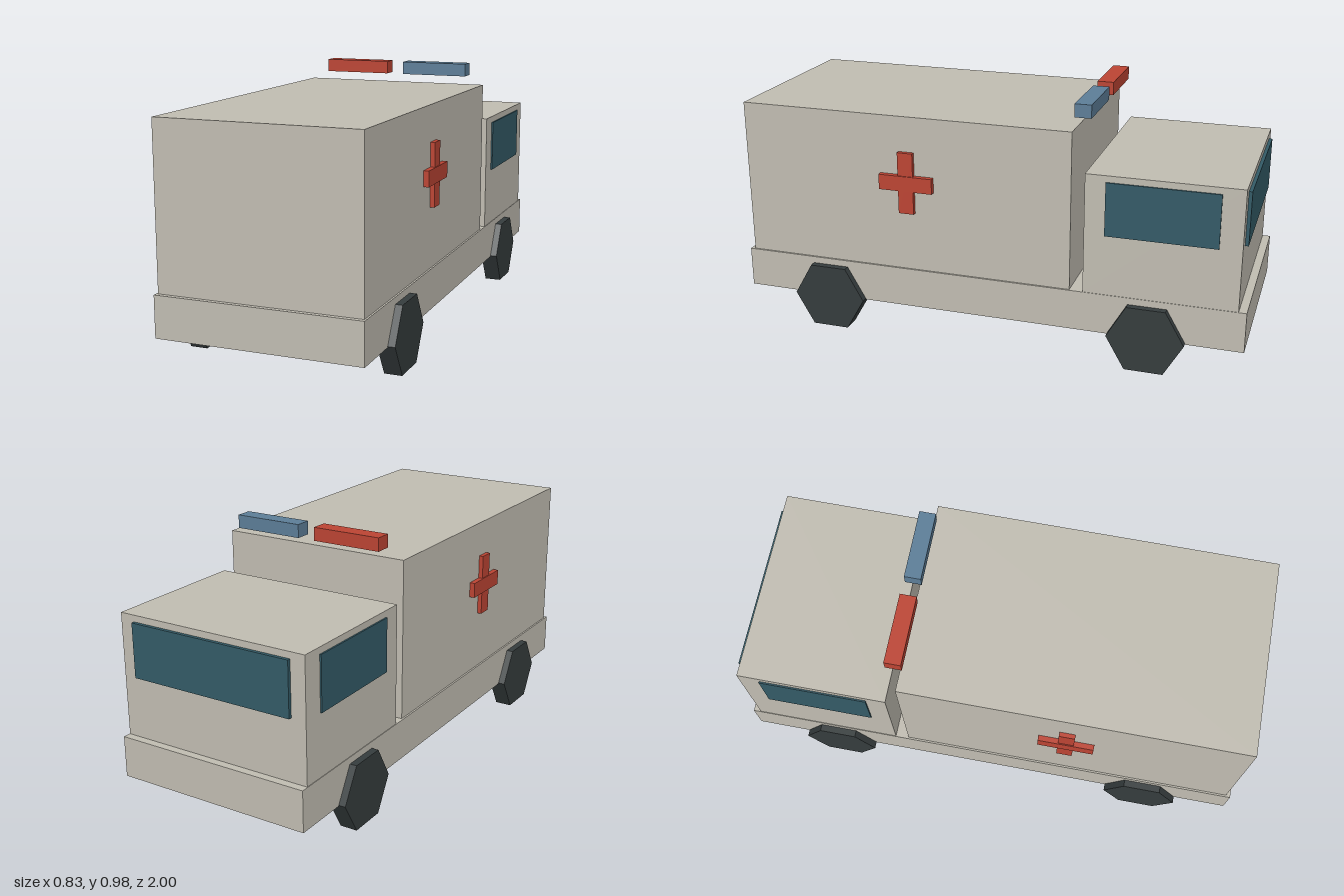
import * as THREE from 'three';

const mat = (name, color) => {
  const m = new THREE.MeshStandardMaterial({ color });
  m.name = name;
  return m;
};

export function createModel() {
  const paint = mat('body grey', 0xc0bcb1);
  const glass = mat('window teal', 0x335a66);
  const red = mat('signal red', 0xbb4433);
  const blue = mat('signal blue', 0x5c7d97);
  const rubber = mat('tyre black', 0x353c3d);

  const group = new THREE.Group();
  group.name = 'ambulance';

  // Box given by its extents on each axis
  const box = (name, material, [x0, x1], [y0, y1], [z0, z1]) => {
    const mesh = new THREE.Mesh(new THREE.BoxGeometry(x1 - x0, y1 - y0, z1 - z0), material);
    mesh.position.set((x0 + x1) / 2, (y0 + y1) / 2, (z0 + z1) / 2);
    mesh.name = name;
    group.add(mesh);
  };

  // Body
  box('chassis', paint, [-0.39, 0.39], [0.124, 0.281], [-1, 1]);
  box('rearCompartment', paint, [-0.383, 0.383], [0.281, 0.896], [-0.34, 0.983]);
  box('cab', paint, [-0.388, 0.388], [0.281, 0.747], [-0.97, -0.392]);
  box('windscreen', glass, [-0.33, 0.33], [0.516, 0.722], [-0.983, -0.968]);

  // Roof lights
  box('redLight', red, [-0.31, -0.036], [0.929, 0.98], [-0.392, -0.328]);
  box('blueLight', blue, [0.034, 0.308], [0.929, 0.98], [-0.392, -0.328]);

  // Six-sided wheels, axle along x, flat side down
  const wheelGeo = new THREE.CylinderGeometry(0.147, 0.147, 0.067, 6).rotateZ(Math.PI / 2).toNonIndexed();
  wheelGeo.computeVertexNormals();

  for (const side of [-1, 1]) {
    const label = side > 0 ? 'left' : 'right';
    const span = (a, b) => (side > 0 ? [a, b] : [-b, -a]);

    box(label + 'Window', glass, span(0.385, 0.394), [0.516, 0.722], [-0.887, -0.47]);
    box(label + 'CrossUpright', red, span(0.38, 0.4), [0.515, 0.758], [0.274, 0.335]);
    box(label + 'CrossBar', red, span(0.38, 0.404), [0.606, 0.666], [0.197, 0.412]);

    for (const [end, z] of [['Front', 0.643], ['Rear', -0.638]]) {
      const wheel = new THREE.Mesh(wheelGeo, rubber);
      wheel.position.set(side * 0.3835, 0.1275, z);
      wheel.name = label + end + 'Wheel';
      group.add(wheel);
    }
  }
  return group;
}
